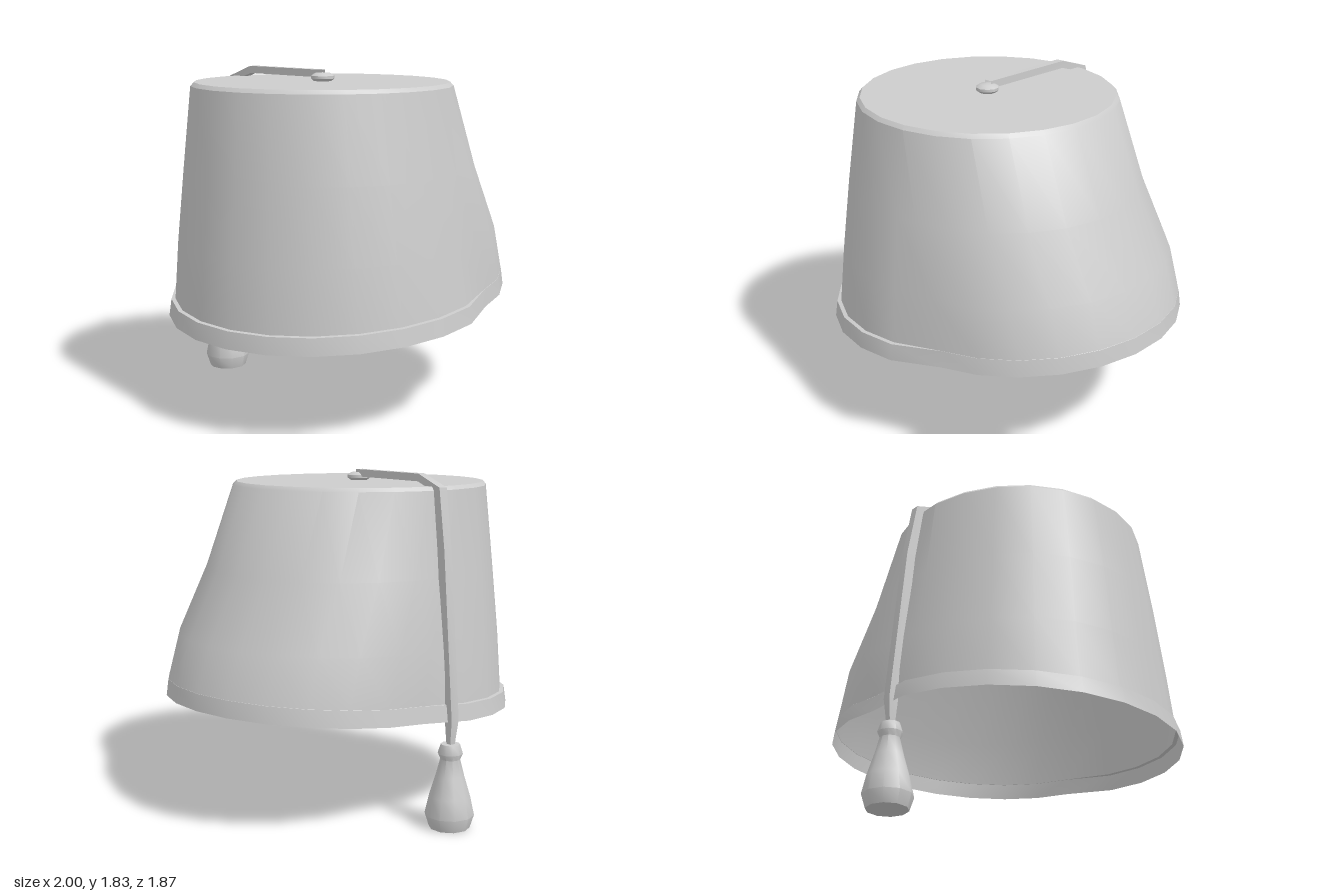
import * as THREE from 'three';
import { toCreasedNormals } from 'three/addons/utils/BufferGeometryUtils.js';

// Skin a list of closed rings (arrays of Vector3), ordered from top to bottom
function loft(rings, crease = 0.5) {
  const n = rings[0].length, index = [];
  for (let i = 0; i < rings.length - 1; i++) {
    for (let j = 0; j < n; j++) {
      const a = i * n + j, b = i * n + (j + 1) % n;
      index.push(a, b, a + n, b, b + n, a + n);
    }
  }
  const geo = new THREE.BufferGeometry().setFromPoints(rings.flat());
  geo.setIndex(index);
  return toCreasedNormals(geo, crease);
}

// Hat outline: two half circles with separate centres, so the +x side can bulge
function hatRing({ y, slope = 0, z, left, right, flare = 0 }) {
  const points = [], steps = 12;
  for (const [side, start] of [[right, -Math.PI / 2], [left, Math.PI / 2]]) {
    const r = side[1] + (side === left ? flare : 0);
    for (let k = 0; k <= steps; k++) {
      const t = start + Math.PI * k / steps;
      const x = side[0] + r * Math.cos(t);
      const depth = side === left && slope > 0.05 ? r - 0.012 : r;
      points.push(new THREE.Vector3(x, y + slope * x, z + depth * Math.sin(t)));
    }
  }
  return points;
}

function createModel() {
  const model = new THREE.Group();
  const felt = new THREE.MeshStandardMaterial({ color: 0xcccccc, side: THREE.DoubleSide });
  felt.name = 'light grey felt';
  const add = (name, geometry, x = 0, y = 0, z = 0) => {
    const mesh = new THREE.Mesh(geometry, felt);
    mesh.name = name;
    mesh.position.set(x, y, z);
    model.add(mesh);
    return mesh;
  };

  // Hollow body: [centre x, radius] for each half
  const crease = { y: 0.657, slope: 0.077, z: 0.05, left: [-0.1, 0.865], right: [0.18, 0.807] };
  add('hatBody', loft([
    { y: 1.77, z: 0.02, left: [-0.14, 0.685], right: [-0.14, 0.685] },
    { y: 1.75, z: 0.02, left: [-0.14, 0.703], right: [-0.138, 0.703] },
    { y: 1.31, z: 0.033, left: [-0.13, 0.765], right: [-0.02, 0.755] },
    { y: 0.94, slope: 0.03, z: 0.042, left: [-0.115, 0.82], right: [0.115, 0.8] },
    crease,
  ].map(hatRing)));

  // Brim band: stepped out on the -x half, flush on the other half
  add('brimBand', loft([
    crease,
    { ...crease, y: 0.656, right: [0.18, 0.808], flare: 0.022 },
    { ...crease, y: 0.567, right: [0.18, 0.82], flare: 0.035 },
  ].map(hatRing)));

  // Flat crown
  const crown = add('crown', new THREE.CircleGeometry(0.685, 24), -0.14, 1.77, 0.02);
  crown.rotation.x = -Math.PI / 2;

  // Button in the middle of the crown
  const lathe = (profile, sides) => toCreasedNormals(new THREE.LatheGeometry(
    profile.map(([r, y]) => new THREE.Vector2(r, y)), sides), 0.75);
  add('button', lathe([[0.045, 0], [0.063, 0.015], [0.063, 0.03], [0.04, 0.045], [0, 0.048]], 10),
    -0.14, 1.768, 0.025);

  // Cord: [x, y, z, half width, half thickness], over the edge and down the back
  const path = [
    [-0.14, 1.81, 0.02, 0.022, 0.02],
    [-0.045, 1.81, -0.53, 0.022, 0.02],
    [-0.012, 1.755, -0.69, 0.024, 0.025],
    [0, 1.45, -0.735, 0.024, 0.027],
    [0.01, 0.58, -0.812, 0.024, 0.027],
    [0.01, 0.43, -0.806, 0.014, 0.014],
  ];
  const at = i => new THREE.Vector3(...path[Math.min(Math.max(i, 0), path.length - 1)].slice(0, 3));
  add('cord', loft(path.map(([, , , w, h], i) => {
    const dir = at(i + 1).sub(at(i - 1)).normalize();
    const across = new THREE.Vector3(1, 0, 0.15);
    across.addScaledVector(dir, -across.dot(dir)).normalize();
    const out = across.clone().cross(dir);
    return [[1, 1], [-1, 1], [-1, -1], [1, -1]].map(([n, s]) =>
      at(i).addScaledVector(out, n * h).addScaledVector(across, s * w));
  })));

  // Tassel hanging from the cord
  add('tassel', lathe([
    [0, 0], [0.108, 0], [0.13, 0.07], [0.108, 0.17], [0.075, 0.28],
    [0.052, 0.37], [0.066, 0.4], [0.05, 0.45], [0, 0.45],
  ], 10), 0.01, 0, -0.806);

  return model;
}

export { createModel };
